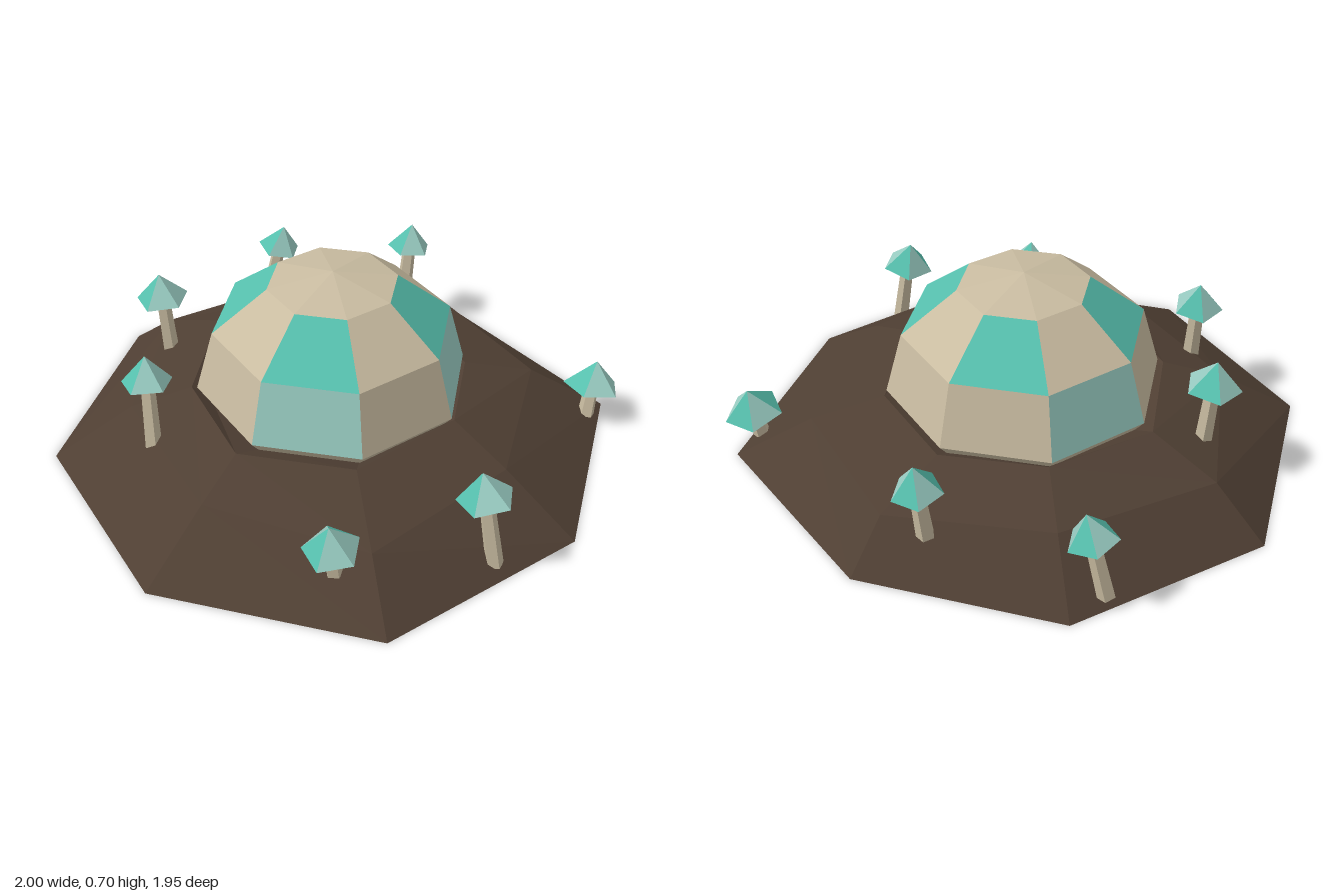
import * as THREE from 'three';

const paint = (name, color, side = THREE.FrontSide) => {
  const m = new THREE.MeshStandardMaterial({ color, side, flatShading: true });
  m.name = name;
  return m;
};

// Ring of n points around a vertical axis
function ring(n, radius, y, phase, cx = 0, cz = 0) {
  return Array.from({ length: n }, (_, k) => {
    const a = phase + (k * Math.PI * 2) / n;
    const r = Array.isArray(radius) ? radius[k % radius.length] : radius;
    return [cx + r * Math.cos(a), y, cz + r * Math.sin(a)];
  });
}

// Flat faces joining a lower ring to an upper ring, optionally only some facets
function strip(name, lower, upper, material, keep = () => true) {
  const pos = [];
  const n = lower.length;
  for (let k = 0; k < n; k++) {
    if (!keep(k)) continue;
    const j = (k + 1) % n;
    const tri = (a, b, c) => pos.push(...a, ...b, ...c);
    if (upper[k].join() !== upper[j].join()) tri(lower[k], upper[k], upper[j]);
    if (lower[k].join() !== lower[j].join()) tri(lower[k], upper[j], lower[j]);
  }
  const g = new THREE.BufferGeometry();
  g.setAttribute('position', new THREE.Float32BufferAttribute(pos, 3));
  g.computeVertexNormals();
  const mesh = new THREE.Mesh(g, material);
  mesh.name = name;
  return mesh;
}

export function createModel() {
  const model = new THREE.Group();
  model.name = 'domeOnMound';

  const soil = paint('soil', 0x4f3f33, THREE.DoubleSide);
  const shell = paint('shell', 0xc9bca1);
  const teal = paint('teal', 0x56bfad);
  const paleTeal = paint('paleTeal', 0x98cbc1);
  const darkTeal = paint('darkTeal', 0x143a37);
  const hollow = paint('hollow', 0x1c0a07);

  // Dome levels, eight-sided
  const phase = (-12.5 * Math.PI) / 180;
  const level = (r, y) => ring(8, r, y, phase, -0.01, -0.055);
  const base = level(0.385, 0.12);
  const waist = level(0.5, 0.27);
  const shoulder = level(0.435, 0.5);
  const crown = level(0.235, 0.66);

  // Mound: irregular eight-sided skirt, open underneath, closing in on the dome
  const foot = [[1, 0, -0.23], [0.86, 0, 0.55], [0.17, 0, 0.97], [-0.6, 0, 0.8],
    [-1, 0, 0.12], [-0.8, 0, -0.6], [-0.17, 0, -0.98], [0.62, 0, -0.91]];
  const slope = [[0.72, 0.18, -0.18], [0.67, 0.17, 0.43], [0.12, 0.17, 0.68], [-0.44, 0.19, 0.55],
    [-0.8, 0.17, 0.09], [-0.62, 0.19, -0.48], [-0.14, 0.16, -0.82], [0.42, 0.17, -0.7]];
  const brim = [[0.485, 0.265, -0.17], [0.43, 0.265, 0.26], [0.08, 0.255, 0.49], [-0.3, 0.265, 0.375],
    [-0.55, 0.27, 0.04], [-0.435, 0.265, -0.34], [-0.11, 0.24, -0.55], [0.27, 0.24, -0.48]];
  const mound = new THREE.Group();
  mound.name = 'mound';
  mound.add(
    strip('moundSkirt', foot, slope, soil),
    strip('moundTop', slope, brim, soil),
    strip('moundLip', brim, level(0.455, 0.22), soil),
  );
  model.add(mound);

  // Dome: windows on every second roof facet and every third wall facet
  const roofWindow = (k) => k % 2 === 1;
  const wallWindow = (k) => k % 3 === 1;
  const dome = new THREE.Group();
  dome.name = 'dome';
  dome.add(
    strip('domeUnderside', base, waist, shell),
    strip('wallPanels', waist, shoulder, shell, (k) => !wallWindow(k)),
    strip('lowerWindows', waist, shoulder, paleTeal, wallWindow),
    strip('roofPanels', shoulder, crown, shell, (k) => !roofWindow(k)),
    strip('upperWindows', shoulder, crown, teal, roofWindow),
    strip('domeTop', crown, level(0, 0.705), shell),
  );

  // Opening under the dome
  const mouth = level([0.35, 0.31, 0.34, 0.28], 0.12);
  dome.add(strip('openingRim', mouth, base, darkTeal));
  dome.add(strip('opening', level(0, 0.12), mouth, hollow));
  model.add(dome);

  // Mushrooms: [tip x, y, z, stem foot x, y, z, cap radius]
  const mushrooms = [
    [-0.76, 0.38, -0.5, -0.815, 0.07, -0.46, 0.088],
    [-0.65, 0.52, 0.23, -0.63, 0.19, 0.22, 0.1],
    [-0.29, 0.51, 0.57, -0.25, 0.18, 0.6, 0.093],
    [0.6, 0.32, 0.555, 0.6, 0.13, 0.53, 0.1],
    [0.82, 0.4, 0.09, 0.885, 0.05, 0.07, 0.1],
    [0.62, 0.25, -0.83, 0.63, 0.05, -0.795, 0.108],
    [-0.31, 0.46, -0.8, -0.31, 0.18, -0.77, 0.088],
  ];
  const up = new THREE.Vector3(0, 1, 0);
  const capHeight = 0.105;
  const sink = 0.025;
  for (const [tx, ty, tz, fx, fy, fz, r] of mushrooms) {
    const axis = new THREE.Vector3(tx - fx, ty - fy, tz - fz);
    const length = axis.length() - capHeight;
    axis.normalize();
    const mushroom = new THREE.Group();
    mushroom.name = 'mushroom';
    mushroom.position.set(fx, fy, fz).addScaledVector(axis, length);
    mushroom.quaternion.setFromUnitVectors(up, axis);

    // Stem, sunk a little into the soil
    const stem = new THREE.Mesh(
      new THREE.CylinderGeometry(0.026, 0.032, length + sink + 0.02, 5), shell);
    stem.name = 'stem';
    stem.position.y = (0.02 - length - sink) / 2;

    // Five-sided cap in two tones with a shallow dark underside
    const rim = ring(5, r, 0, 0);
    const point = ring(5, 0, capHeight, 0);
    const isTeal = (k) => k % 2 === 1;
    mushroom.add(
      stem,
      strip('capTealFaces', rim, point, teal, isTeal),
      strip('capPaleFaces', rim, point, paleTeal, (k) => !isTeal(k)),
      strip('gills', ring(5, 0, 0.015, 0), rim, darkTeal),
    );
    model.add(mushroom);
  }
  return model;
}
